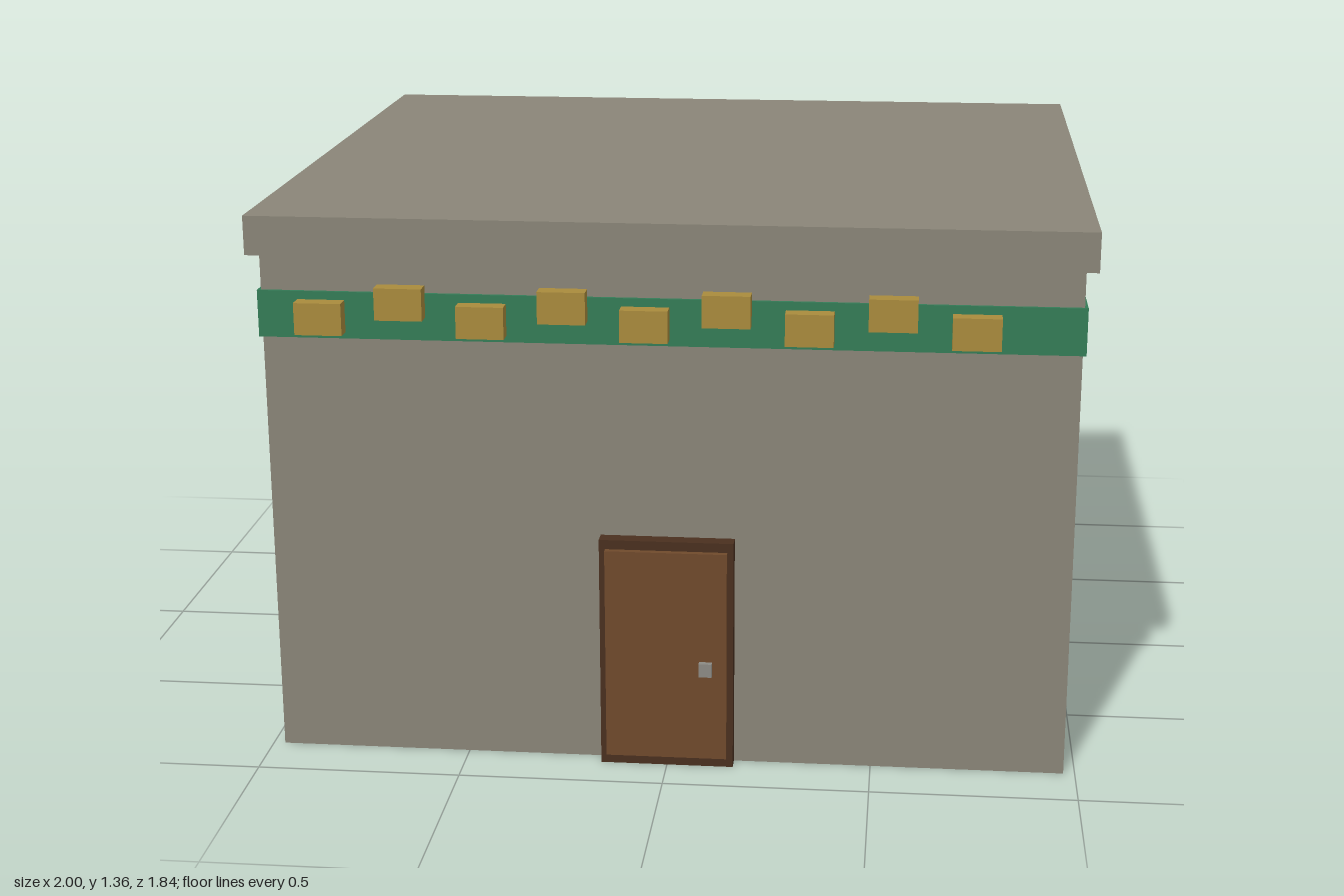
import * as THREE from 'three';

function material(name, color) {
  const m = new THREE.MeshStandardMaterial({ color });
  m.name = name;
  return m;
}

export function createModel() {
  const group = new THREE.Group();
  const stone = material('stone', 0x8a8578);
  const green = material('green', 0x347c57);
  const gold = material('gold', 0xa98b3d);
  const wood = material('wood', 0x704a2c);
  const darkWood = material('darkWood', 0x4a301f);
  const metal = material('metal', 0x8c8a84);

  // Box given by its limits along each axis
  function box(name, mat, [x0, x1], [y0, y1], [z0, z1]) {
    const mesh = new THREE.Mesh(new THREE.BoxGeometry(x1 - x0, y1 - y0, z1 - z0), mat);
    mesh.position.set((x0 + x1) / 2, (y0 + y1) / 2, (z0 + z1) / 2);
    mesh.name = name;
    group.add(mesh);
  }

  // Building shell: walls, painted band and overhanging roof slab
  box('walls', stone, [-0.972, 0.972], [0, 1.265], [-0.894, 0.854]);
  box('band', green, [-0.98, 0.98], [1.062, 1.176], [-0.902, 0.862]);
  box('roof', stone, [-1, 1], [1.265, 1.36], [-0.922, 0.882]);

  // Staggered row of sign blocks, alternately low and high
  for (let i = 0; i < 9; i++) {
    const x = -0.826 + i * 0.194;
    const y = i % 2 ? 1.157 : 1.117;
    box('signBlock', gold, [x - 0.057, x + 0.057], [y - 0.039, y + 0.039], [0.86, 0.902]);
  }

  // Door with its surround and knob
  box('doorFrame', darkWood, [-0.163, 0.163], [0, 0.583], [0.85, 0.892]);
  box('door', wood, [-0.148, 0.148], [0.027, 0.56], [0.885, 0.907]);
  box('doorKnob', metal, [0.081, 0.113], [0.248, 0.282], [0.9, 0.922]);

  return group;
}
